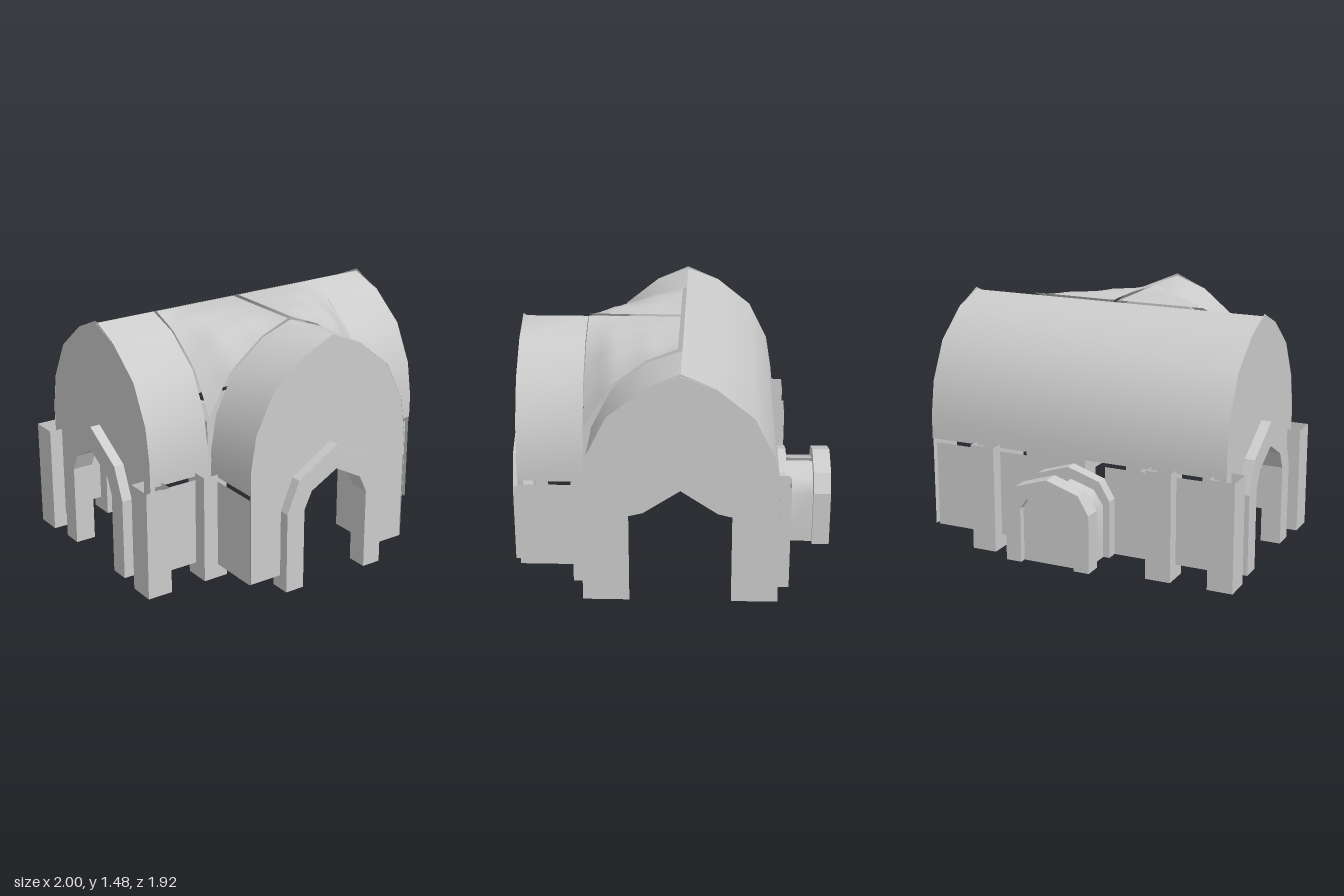
import * as THREE from 'three';

const mat = new THREE.MeshStandardMaterial({ color: 0xcccccc, side: THREE.DoubleSide });
const flat = new THREE.MeshStandardMaterial({ color: 0xcccccc, side: THREE.DoubleSide, flatShading: true });

// half profile of the vault: [offset from axis, height]
const ARCH = [[0.555, 0.635], [0.555, 0.78], [0.52, 0.99], [0.405, 1.22], [0.195, 1.39], [0, 1.46]];
const CX = 0.035, CZ = -0.065;

function add(parent, name, geo, material = flat) {
  const m = new THREE.Mesh(geo, material);
  m.name = name;
  parent.add(m);
  return m;
}

// mirror a half profile that ends on the axis
const mirror = (half) => [...half, ...half.slice(0, -1).reverse().map(([x, y]) => [-x, y])];

// skin between point rows of equal length
function loft(rows) {
  const n = rows[0].length, pos = rows.flat(2), idx = [];
  for (let r = 0; r < rows.length - 1; r++) for (let i = 0; i < n - 1; i++) {
    const a = r * n + i, b = a + n;
    idx.push(a, a + 1, b, a + 1, b + 1, b);
  }
  const g = new THREE.BufferGeometry();
  g.setAttribute('position', new THREE.Float32BufferAttribute(pos, 3));
  g.setIndex(idx);
  g.computeVertexNormals();
  return g;
}

// vault shell along local z
function vault(parent, name, profile, z0, z1) {
  add(parent, name, loft([z0, z1].map((z) => profile.map(([x, y]) => [x, y, z]))), mat);
}

// arched surround with rectangular section, open under the feet
function surround(parent, name, outer, inner, z0, z1) {
  const o = mirror(outer), n = mirror(inner);
  const rows = o.map(([x, y], i) => {
    const [u, v] = n[i];
    return [[x, y, z0], [x, y, z1], [u, v, z1], [u, v, z0], [x, y, z0]];
  });
  add(parent, name, loft(rows));
}

// end wall with a doorway cut through the lower edge
function gable(parent, name, z) {
  const out = mirror([[0.555, 0.085], ...ARCH.slice(1, 5), [0, 1.475]]);
  const door = mirror([[0.29, 0.085], [0.29, 0.62], [0.21, 0.64], [0, 0.78]]).reverse();
  const shape = new THREE.Shape([...out, ...door].map(([x, y]) => new THREE.Vector2(x, y)));
  add(parent, name, new THREE.ShapeGeometry(shape)).position.z = z;
}

// flat wall between two ground points
function wall(parent, name, x0, z0, x1, z1) {
  add(parent, name, loft([0.085, 0.612].map((y) => [[x0, y, z0], [x1, y, z1]])));
}

// hollow square pillar without top or bottom
function pillar(parent, x, z) {
  const g = new THREE.BoxGeometry(0.155, 0.655, 0.16);
  const id = Array.from(g.index.array);
  g.setIndex([...id.slice(0, 12), ...id.slice(24)]);
  add(parent, 'pillar', g).position.set(x, 0.3275, z);
}

// height along a crossing edge, t from ridge (0) to springing (1)
function edgeHeight(t) {
  const p = [[0, 1.468], [0.32, 1.4], [0.73, 1.23], [1, 0.98]];
  const i = t < p[1][0] ? 0 : t < p[2][0] ? 1 : 2;
  return THREE.MathUtils.mapLinear(t, p[i][0], p[i + 1][0], p[i][1], p[i + 1][1]);
}

export function createModel() {
  const model = new THREE.Group();
  model.name = 'vaultedHall';

  // nave runs along x (local +z points to -x, local +x to +z)
  const nave = new THREE.Group();
  nave.name = 'nave';
  nave.rotation.y = -Math.PI / 2;
  nave.position.z = CZ;
  // front arm runs along z
  const arm = new THREE.Group();
  arm.name = 'frontArm';
  arm.position.x = CX;
  model.add(nave, arm);

  // vaults
  const back = ARCH.map(([x, y]) => [-x, y]);
  vault(nave, 'backVault', back, -1, 0.92);
  vault(nave, 'frontVaultRight', ARCH, 0.53, 0.92);
  vault(nave, 'frontVaultLeft', ARCH, -1, -0.61);
  vault(arm, 'armVault', mirror(ARCH), 0.51, 0.9);

  // end walls
  gable(nave, 'rightGable', 0.918);
  gable(nave, 'leftGable', -0.995);
  gable(arm, 'frontGable', 0.898);

  // large door surrounds
  const outer = [[0.345, 0], [0.345, 0.49], [0.265, 0.68], [0, 0.84]];
  const inner = [[0.225, 0], [0.225, 0.49], [0.175, 0.595], [0, 0.69]];
  surround(nave, 'sideDoorSurround', outer, inner, 0.855, 0.98);
  surround(arm, 'frontDoorSurround', outer, inner, 0.835, 0.96);

  // curved crossing panels between nave and arm
  for (const s of [-1, 1]) {
    const N = 12, rows = [];
    for (let j = 0; j <= N; j++) {
      const v = j / N, row = [];
      for (let i = 0; i <= N; i++) {
        const u = i / N, top = 1.468;
        const y = top + u * (edgeHeight(v) - top) + v * (edgeHeight(u) - top) - u * v * (0.98 - top);
        row.push([CX + s * (0.018 + 0.545 * u), y, -0.04 + 0.545 * v]);
      }
      rows.push(row);
    }
    add(model, 'crossingPanel', loft(rows), mat);
  }

  // low walls
  wall(model, 'frontWallRight', -0.92, 0.49, -0.53, 0.49);
  wall(model, 'frontWallLeft', 0.6, 0.49, 0.97, 0.49);
  wall(model, 'armWallRight', -0.525, 0.49, -0.525, 0.9);
  wall(model, 'armWallLeft', 0.595, 0.49, 0.595, 0.9);
  wall(model, 'backWallRight', -0.92, -0.62, -0.17, -0.62);
  wall(model, 'backWallLeft', 0.24, -0.62, 0.97, -0.62);

  // pillars at corners and along the back
  for (const x of [-0.922, -0.54, 0.605]) pillar(model, x, -0.62);
  for (const x of [-0.922, -0.54, 0.565]) pillar(model, x, 0.5);

  // small back porch
  const porch = new THREE.Group();
  porch.name = 'backPorch';
  porch.position.x = CX;
  model.add(porch);
  const pOut = [[0.265, 0.085], [0.265, 0.43], [0.2, 0.54], [0, 0.605]];
  const pIn = [[0.17, 0.085], [0.17, 0.41], [0.13, 0.47], [0, 0.505]];
  surround(porch, 'outerSurround', pOut, pIn, -0.96, -0.855);
  surround(porch, 'innerSurround', pOut, pIn, -0.69, -0.615);
  const tunnel = [[0.225, 0.085], [0.225, 0.4], [0.165, 0.49], [0.02, 0.535]];
  vault(porch, 'tunnelLeft', tunnel, -0.86, -0.68);
  vault(porch, 'tunnelRight', tunnel.map(([x, y]) => [-x, y]), -0.86, -0.68);
  const door = new THREE.Shape(mirror(pIn).map(([x, y]) => new THREE.Vector2(x, y)));
  add(porch, 'door', new THREE.ShapeGeometry(door)).position.z = -0.92;
  add(porch, 'doorPanel', new THREE.PlaneGeometry(0.23, 0.27)).position.set(0, 0.335, -0.91);

  return model;
}
